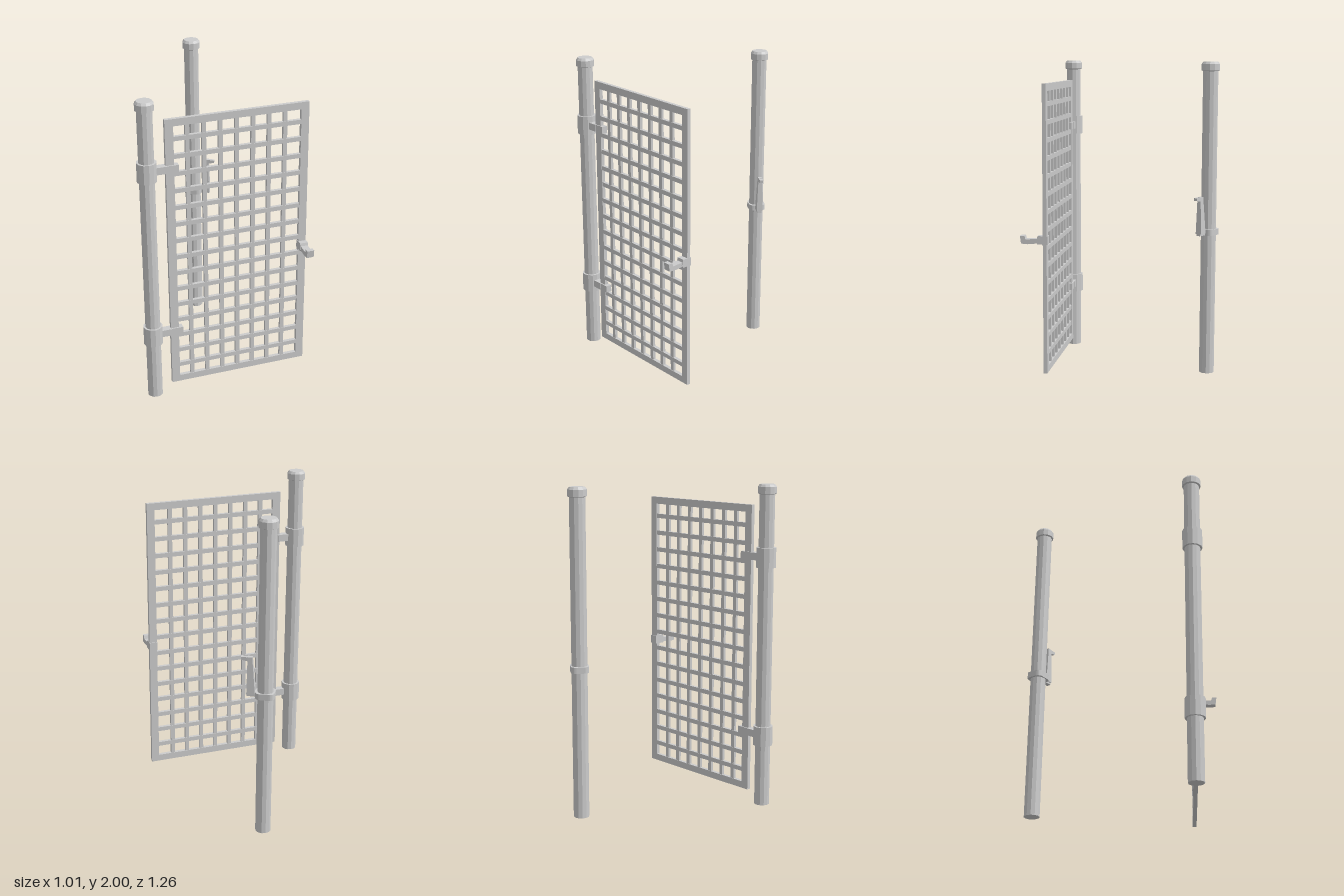
import * as THREE from 'three';

const mat = new THREE.MeshStandardMaterial({ color: 0xcccccc, flatShading: true });

function add(parent, name, geo, x = 0, y = 0, z = 0) {
  const m = new THREE.Mesh(geo, mat);
  m.name = name;
  m.position.set(x, y, z);
  parent.add(m);
  return m;
}

// box given by its min and max corners
function box(parent, name, x0, x1, y0, y1, z0, z1) {
  return add(parent, name, new THREE.BoxGeometry(x1 - x0, y1 - y0, z1 - z0),
    (x0 + x1) / 2, (y0 + y1) / 2, (z0 + z1) / 2);
}

// side profile in x-y, extruded symmetrically in z
function profile(parent, name, pts, depth) {
  const shape = new THREE.Shape(pts.map(p => new THREE.Vector2(...p)));
  const geo = new THREE.ExtrudeGeometry(shape, { depth, bevelEnabled: false });
  return add(parent, name, geo.translate(0, 0, -depth / 2));
}

function makePost(name, x, z) {
  const g = new THREE.Group();
  g.name = name;
  g.position.set(x, 0, z);
  add(g, 'postPole', new THREE.CylinderGeometry(0.048, 0.048, 1.97, 12), 0, 0.985, 0);
  const cap = [[0.046, 1.94], [0.058, 1.945], [0.058, 1.985], [0.047, 2], [0, 2]];
  add(g, 'postCap', new THREE.LatheGeometry(cap.map(p => new THREE.Vector2(...p)), 12));
  return g;
}

export function createModel() {
  const model = new THREE.Group();
  model.name = 'gateWithPosts';

  const hingePost = makePost('hingePost', -0.443, 0.572);
  const latchPost = makePost('latchPost', -0.443, -0.572);
  model.add(hingePost, latchPost);

  // gate leaf swung open around the hinge post
  const gate = new THREE.Group();
  gate.name = 'gate';
  gate.rotation.y = THREE.MathUtils.degToRad(31);
  hingePost.add(gate);

  // outer frame with a rectangular opening
  const X0 = 0.113, X1 = 1.015, Y0 = 0.062, Y1 = 1.87;
  const x0 = 0.165, x1 = 0.965, y0 = 0.105, y1 = 1.825;
  const V = (x, y) => new THREE.Vector2(x, y);
  const frame = new THREE.Shape([V(X0, Y0), V(X1, Y0), V(X1, Y1), V(X0, Y1)]);
  frame.holes.push(new THREE.Path([V(x0, y0), V(x0, y1), V(x1, y1), V(x1, y0)]));
  add(gate, 'gateFrame', new THREE.ExtrudeGeometry(frame, { depth: 0.024, bevelEnabled: false }), 0, 0, -0.012);

  // lattice bars
  for (let i = 0; i < 7; i++) {
    const c = 0.25 + i * 0.1022;
    box(gate, 'verticalBar', c - 0.013, c + 0.013, y0 - 0.01, y1 + 0.01, -0.009, 0.009);
  }
  for (let i = 0; i < 15; i++) {
    const c = 0.187 + i * 0.1113;
    box(gate, 'horizontalBar', x0 - 0.01, x1 + 0.01, c - 0.014, c + 0.014, -0.011, 0.011);
  }

  // hinges: collar around the post and an arm gripping the frame
  for (const y of [0.446, 1.56]) {
    add(gate, 'hingeCollar', new THREE.CylinderGeometry(0.061, 0.061, 0.122, 12), 0, y, 0);
    box(gate, 'hingeArm', 0.04, 0.125, y - 0.023, y + 0.023, -0.023, 0.023);
    box(gate, 'hingeClamp', 0.115, 0.192, y - 0.023, y + 0.023, -0.02, 0.02);
  }

  // catch at the free end, reaching out from the gate face
  const catchGroup = new THREE.Group();
  catchGroup.name = 'gateCatch';
  catchGroup.position.set(0.99, 0, 0);
  catchGroup.rotation.y = -Math.PI / 2;
  gate.add(catchGroup);
  profile(catchGroup, 'catchClamp', [[-0.018, 0.882], [0.045, 0.882], [0.055, 0.895], [0.045, 0.935], [-0.018, 0.935]], 0.052);
  profile(catchGroup, 'catchHook', [[0.03, 0.89], [0.11, 0.882], [0.15, 0.885], [0.157, 0.934],
    [0.128, 0.934], [0.122, 0.912], [0.03, 0.918]], 0.046);

  // strap around the latch post with rounded corners
  const strap = new THREE.Shape();
  const w = 0.058, d = 0.054, r = 0.03;
  const corners = [[w - r, d - r], [r - w, d - r], [r - w, r - d], [w - r, r - d]];
  corners.forEach(([cx, cy], i) => strap.absarc(cx, cy, r, i * Math.PI / 2, (i + 1) * Math.PI / 2, false));
  const strapGeo = new THREE.ExtrudeGeometry(strap, { depth: 0.038, bevelEnabled: false, curveSegments: 3 });
  add(latchPost, 'latchStrap', strapGeo.rotateX(-Math.PI / 2), 0, 0.905, 0);

  // latch: foot, tapering upright lever and outward tip
  box(latchPost, 'latchFoot', 0.045, 0.112, 0.907, 0.942, -0.014, 0.014);
  const lever = profile(latchPost, 'latchLever', [[0.06, 0.92], [0.112, 0.92], [0.108, 1.155], [0.08, 1.155]], 0.04);
  const p = lever.geometry.attributes.position;
  for (let i = 0; i < p.count; i++) p.setZ(i, p.getZ(i) * (1 - 0.4 * (p.getY(i) - 0.92) / 0.235));
  lever.geometry.computeVertexNormals();
  profile(latchPost, 'latchTip', [[0.09, 1.125], [0.146, 1.135], [0.148, 1.152], [0.09, 1.155]], 0.022);

  return model;
}
